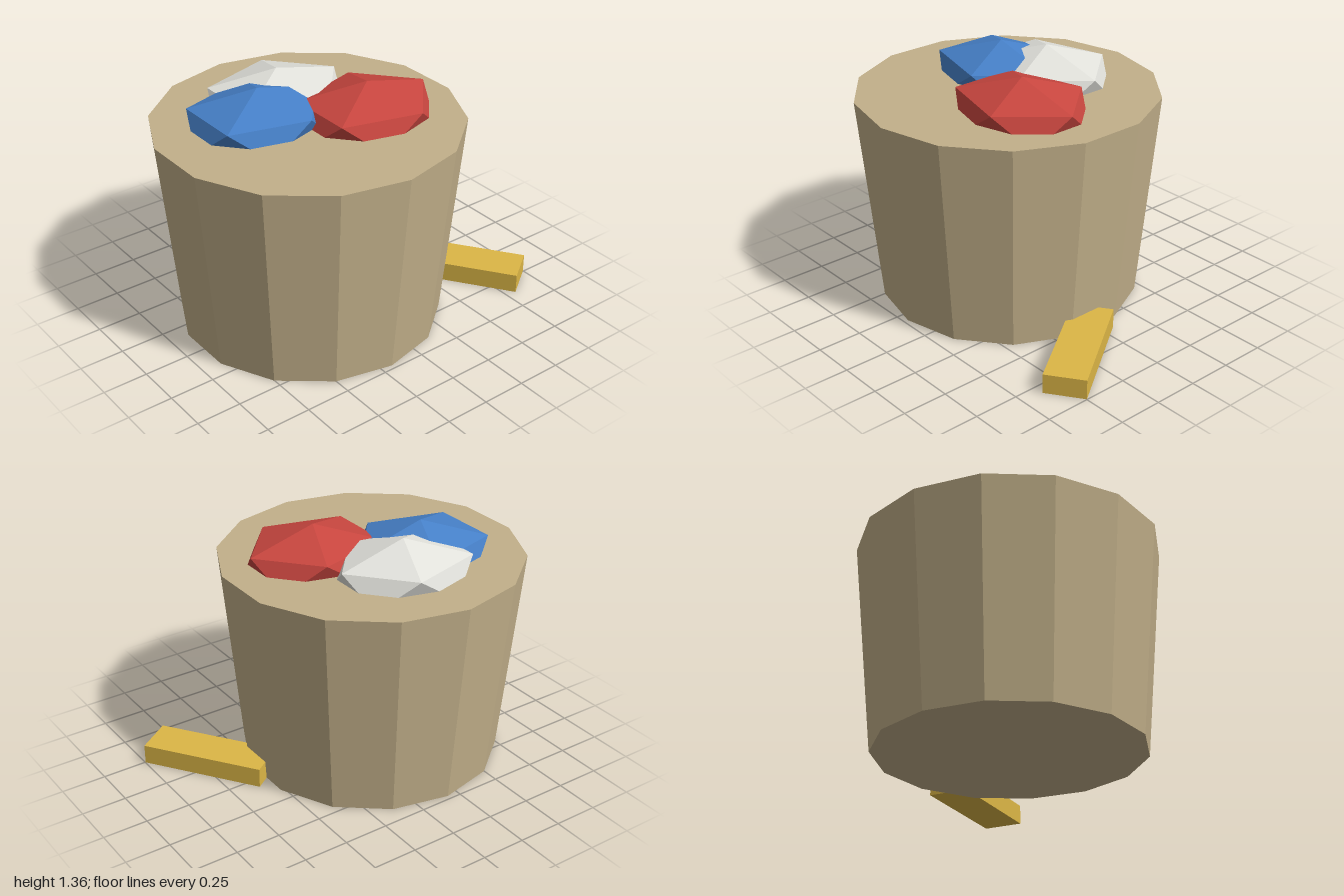
import * as THREE from 'three';

const flat = (name, color) => {
  const material = new THREE.MeshStandardMaterial({ color, flatShading: true });
  material.name = name;
  return material;
};

export function createModel() {
  const group = new THREE.Group();
  const add = (name, geometry, material, x, y, z) => {
    const mesh = new THREE.Mesh(geometry, material);
    mesh.name = name;
    mesh.position.set(x, y, z);
    group.add(mesh);
    return mesh;
  };

  // Tapered fourteen-sided tub, closed at both ends
  const height = 1.175;
  add('tub', new THREE.CylinderGeometry(0.835, 0.725, height, 14),
    flat('tan', 0xc2b08a), -0.185, height / 2, 0);

  // Flattened twenty-sided lump with a corner pointing up and a ring corner towards +x
  const lump = new THREE.IcosahedronGeometry(1, 0);
  lump.rotateX(-Math.atan((1 + Math.sqrt(5)) / 2));
  lump.rotateY(Math.PI / 2);
  lump.scale(0.432, 0.181, 0.365);

  // Three lumps half sunk into the top
  const lumps = [
    ['redLump', 'red', 0xc8463f, 0.095, 0.14],
    ['blueLump', 'blue', 0x4680c8, -0.405, -0.14],
    ['whiteLump', 'white', 0xe2e2dc, -0.185, -0.28],
  ];
  for (const [name, colorName, color, x, z] of lumps) {
    add(name, lump, flat(colorName, color), x, 1.174, z);
  }

  // Angled block lying on the ground against the tub
  const block = add('groundBlock', new THREE.BoxGeometry(0.227, 0.11, 0.695),
    flat('yellow', 0xdcb646), 0.706, 0.055, 0.278);
  block.rotation.y = 0.61;

  return group;
}
